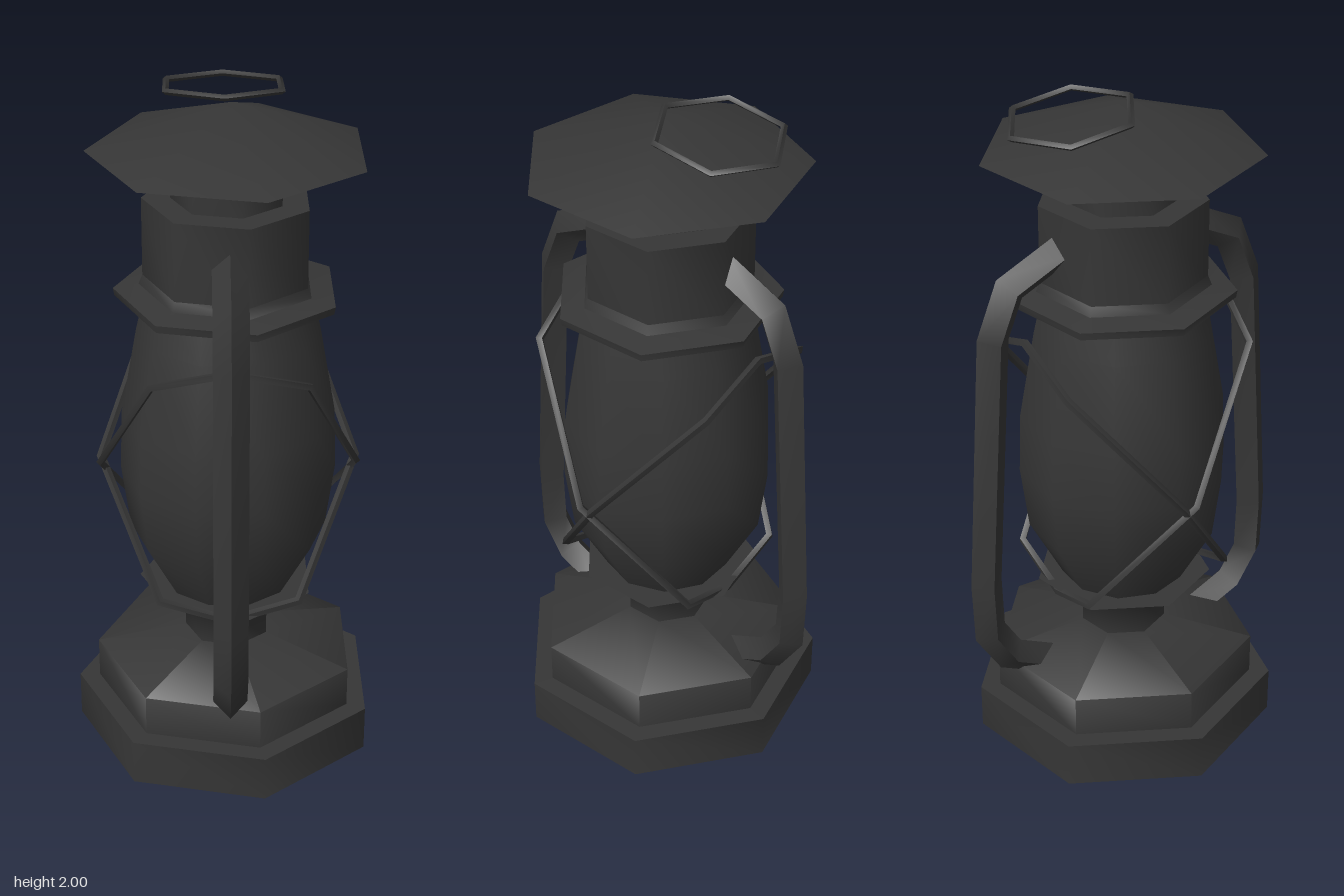
import * as THREE from 'three';
import { toCreasedNormals } from 'three/addons/utils/BufferGeometryUtils.js';

const CX = 0.022; // axis of the lantern
const CREASE = 0.96; // keeps right-angle rims sharp, sides smooth
const SOFT = 1.4; // also rounds the shading of sloped shoulders

const darkIron = new THREE.MeshStandardMaterial({ color: 0x363636 });
darkIron.name = 'darkIron';

function createMesh(name, geometry, crease = CREASE) {
  const mesh = new THREE.Mesh(toCreasedNormals(geometry, crease), darkIron);
  mesh.name = name;
  return mesh;
}

// Revolved part with a corner pointing to -x
function turned(name, profile, sides = 7, crease = CREASE) {
  const points = profile.map(([r, y]) => new THREE.Vector2(r, y));
  const mesh = createMesh(name, new THREE.LatheGeometry(points, sides, -Math.PI / 2), crease);
  mesh.position.x = CX;
  return mesh;
}

// Four-sided bar with mitred corners along a path; n is the normal of its plane
function bar(name, path, radius, n, closed) {
  const pts = path.map((p) => new THREE.Vector3(...p));
  const count = pts.length;
  const positions = [];
  const index = [];
  pts.forEach((p, i) => {
    const prev = pts[closed ? (i + count - 1) % count : Math.max(i - 1, 0)];
    const next = pts[closed ? (i + 1) % count : Math.min(i + 1, count - 1)];
    const before = p.clone().sub(prev).normalize();
    const after = next.clone().sub(p).normalize();
    const t = before.clone().add(after).normalize();
    const miter = 1 / Math.max(t.dot(after), t.dot(before), 0.5);
    const side = n.clone().cross(t).normalize();
    for (let j = 0; j < 4; j++) {
      const a = (j * Math.PI) / 2;
      const v = p.clone()
        .addScaledVector(side, Math.cos(a) * radius * miter)
        .addScaledVector(n, Math.sin(a) * radius);
      positions.push(v.x, v.y, v.z);
    }
  });
  const spans = closed ? count : count - 1;
  for (let i = 0; i < spans; i++) {
    const k = (i + 1) % count;
    for (let j = 0; j < 4; j++) {
      const m = (j + 1) % 4;
      index.push(i * 4 + j, i * 4 + m, k * 4 + m, i * 4 + j, k * 4 + m, k * 4 + j);
    }
  }
  if (!closed) {
    const e = (count - 1) * 4;
    index.push(0, 2, 1, 0, 3, 2, e, e + 1, e + 2, e, e + 2, e + 3);
  }
  const geometry = new THREE.BufferGeometry();
  geometry.setAttribute('position', new THREE.Float32BufferAttribute(positions, 3));
  geometry.setIndex(index);
  return createMesh(name, geometry);
}

// Guard wire looped around the globe; top and shoulder are [y, z], s mirrors it in z
function guardWire(name, top, shoulder, s) {
  const half = [
    [0, ...top], [0.215, ...shoulder], [0.37, 0.895, 0.02], [0.2, 0.55, -0.232], [0, 0.48, -0.225],
  ];
  const mirrored = half.slice(1, -1).reverse().map(([x, y, z]) => [-x, y, z]);
  const path = [...half, ...mirrored].map(([x, y, z]) => [x + CX, y, z * s]);
  const normal = new THREE.Vector3(0, -0.59, 0.81 * s).normalize();
  return bar(name, path, 0.012, normal, true);
}

export function createModel() {
  const lantern = new THREE.Group();
  lantern.name = 'lantern';

  // Stepped base, neck and burner dish
  lantern.add(turned('base', [
    [0, 0], [0.453, 0], [0.453, 0.14], [0.393, 0.14], [0.393, 0.265], [0.127, 0.325], [0, 0.325],
  ], 7, SOFT));
  lantern.add(turned('burner', [
    [0.127, 0.31], [0.127, 0.42], [0.262, 0.5], [0.15, 0.5],
  ], 7, SOFT));

  // Bulging globe
  const globe = turned('globe', [
    [0.187, 0.497], [0.287, 0.68], [0.312, 0.87], [0.306, 1.05], [0.26, 1.31], [0.23, 1.44],
  ], 10);
  globe.scale.z = 0.975;
  lantern.add(globe);

  // Collar, cap, chimney and roof
  lantern.add(turned('collar', [
    [0.2, 1.42], [0.318, 1.415], [0.322, 1.437], [0.25, 1.45], [0.238, 1.48],
  ]));
  lantern.add(turned('cap', [
    [0.2, 1.43], [0.239, 1.45], [0.239, 1.705], [0.15, 1.705],
  ]));
  lantern.add(turned('chimney', [[0.16, 1.69], [0.16, 1.85]]));
  const roof = turned('roof', [[0, 1.84], [0.395, 1.84], [0, 1.975]]);
  roof.position.x += 0.004;
  lantern.add(roof);

  // Side handles, front and back, with their feet sunk into the base
  const handle = [
    [1.595, 0.18], [1.51, 0.355], [1.37, 0.41], [0.59, 0.459], [0.415, 0.453], [0.31, 0.388], [0.25, 0.265],
  ];
  const xAxis = new THREE.Vector3(1, 0, 0);
  for (const s of [1, -1]) {
    const path = handle.map(([y, z]) => [CX, y, z * s]);
    lantern.add(bar(s > 0 ? 'frontHandle' : 'backHandle', path, 0.049, xAxis, false));
  }

  // Crossed guard wires around the globe
  lantern.add(guardWire('frontGuardWire', [1.335, 0.34], [1.27, 0.287], 1));
  lantern.add(guardWire('backGuardWire', [1.335, 0.312], [1.25, 0.3], -1));

  // Tilted hanging ring on top
  const ring = [];
  for (let i = 0; i < 6; i++) {
    const a = (i * Math.PI) / 3;
    ring.push([0.01 + 0.182 * Math.sin(a), 1.968 + 0.024 * Math.cos(a), -0.163 + 0.18 * Math.cos(a)]);
  }
  const ringNormal = new THREE.Vector3(0, 0.18, -0.024).normalize();
  lantern.add(bar('hangingRing', ring, 0.009, ringNormal, true));

  return lantern;
}
